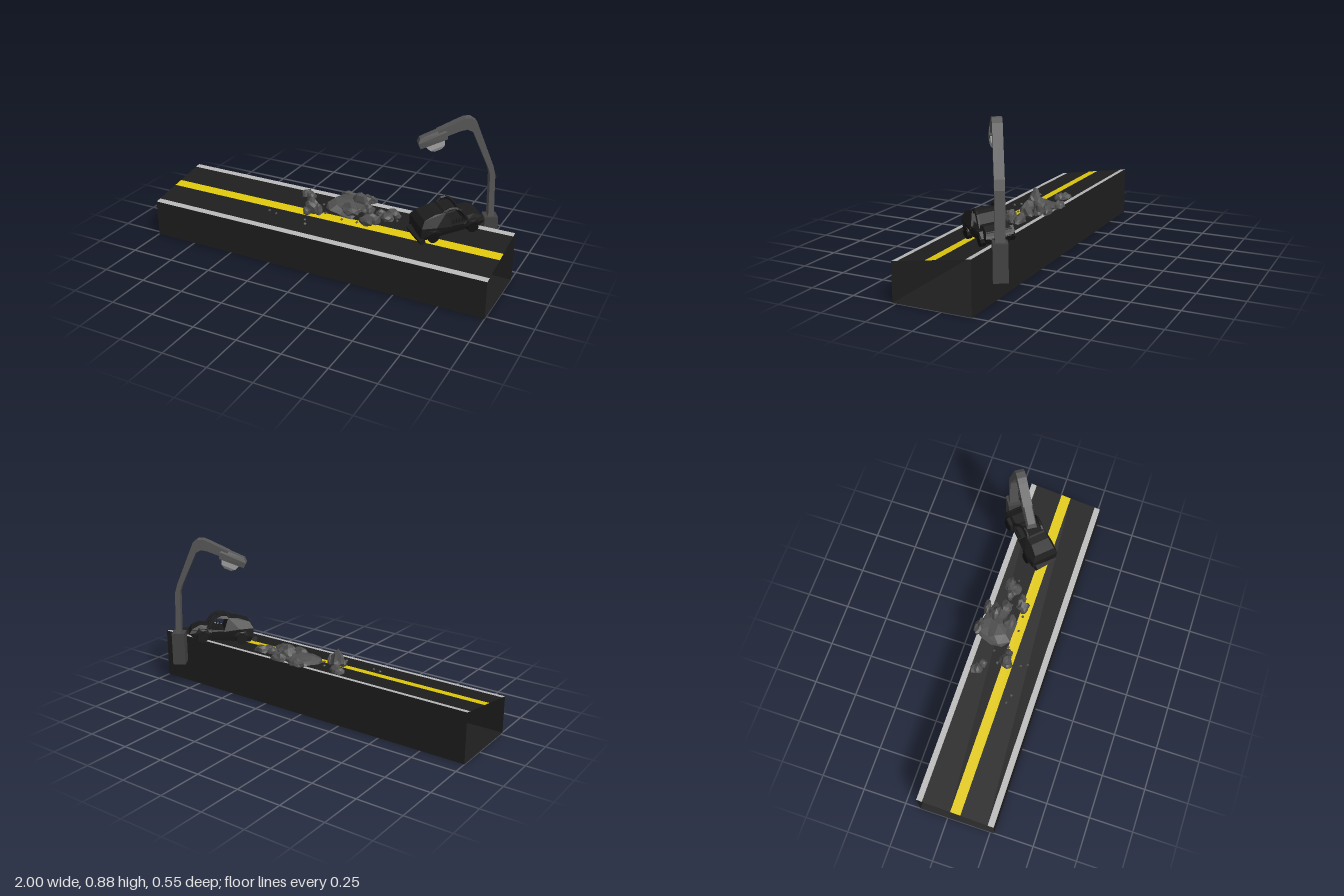
import * as THREE from 'three';
import { ConvexGeometry } from 'three/addons/geometries/ConvexGeometry.js';

const paint = (color, side = THREE.FrontSide) =>
  new THREE.MeshStandardMaterial({ color, side, flatShading: true });
const black = paint(0x1c1c1c), tyre = paint(0x121212), stone = paint(0x505050);
const steel = paint(0x565656), concrete = paint(0x424242), lampGlass = paint(0xaaaaaa);

function add(parent, name, geometry, material, x = 0, y = 0, z = 0) {
  const mesh = new THREE.Mesh(geometry, material);
  mesh.name = name;
  mesh.position.set(x, y, z);
  parent.add(mesh);
  return mesh;
}

// Hull of points [x, y, halfWidth], mirrored across z
function hull(points) {
  return new ConvexGeometry(points.flatMap(([x, y, w]) =>
    [new THREE.Vector3(x, y, w), new THREE.Vector3(x, y, -w)]));
}

// Repeatable 0..1 noise from a position, so shared corners stay joined
function noise(x, y, z, seed) {
  const n = Math.sin(Math.round(x * 50) * 12.99 + Math.round(y * 50) * 78.23 + Math.round(z * 50) * 37.72 + seed * 9.17) * 43758.55;
  return n - Math.floor(n);
}

// Jagged chunk with a flattened underside, resting on y = 0
function chunk(w, h, d, seed, detail = 1) {
  const g = new THREE.IcosahedronGeometry(1, detail);
  const p = g.attributes.position;
  for (let i = 0; i < p.count; i++) {
    const x = p.getX(i), y = p.getY(i), z = p.getZ(i);
    const r = 0.7 + 0.45 * noise(x, y, z, seed);
    p.setXYZ(i, x * r * w / 2, Math.max(0, (y * r + 0.25) * h / 1.25), z * r * d / 2);
  }
  g.computeVertexNormals();
  return g;
}

// Strip of road shell running the full length between two (z, y) edges
function strip(parent, name, color, [z0, y0], [z1, y1]) {
  const g = new THREE.BufferGeometry();
  g.setAttribute('position', new THREE.Float32BufferAttribute(
    [-1, y0, z0, 1, y0, z0, 1, y1, z1, -1, y1, z1], 3));
  g.setIndex([0, 1, 2, 0, 2, 3]);
  g.computeVertexNormals();
  add(parent, name, g, paint(color, THREE.DoubleSide));
}

const SLOPE = 0.163;
const roadY = z => 0.21 + SLOPE * (0.272 - z);

function makeRoad() {
  const road = new THREE.Group();
  road.name = 'road';
  const bands = [
    ['frontEdgeLine', 0xb8b8b8, 0.272, 0.238], ['frontLane', 0x1e1e1e, 0.238, 0.085],
    ['centreLine', 0xe0c80c, 0.085, 0.028], ['backLane', 0x1e1e1e, 0.028, -0.13],
    ['backEdgeLine', 0xb8b8b8, -0.13, -0.162]];
  for (const [name, color, a, b] of bands) strip(road, name, color, [a, roadY(a)], [b, roadY(b)]);
  // Open-ended shell below the surface
  strip(road, 'frontWall', 0x1e1e1e, [0.272, 0], [0.272, roadY(0.272)]);
  strip(road, 'backWall', 0x1e1e1e, [-0.162, roadY(-0.162)], [-0.162, 0]);
  strip(road, 'underside', 0x1e1e1e, [-0.162, 0], [0.272, 0]);
  return road;
}

function makeStreetLamp() {
  const lamp = new THREE.Group();
  lamp.name = 'streetLamp';
  lamp.position.set(0.837, 0, -0.225);
  lamp.rotation.y = Math.PI + 0.557;
  add(lamp, 'lampBase', new THREE.BoxGeometry(0.073, 0.19, 0.073), concrete, 0, 0.23, 0);
  // Bent pole, drawn from the side
  const outline = [
    [-0.016, 0.3], [-0.006, 0.57], [0.008, 0.62], [0.108, 0.865], [0.135, 0.885], [0.17, 0.885],
    [0.2, 0.872], [0.31, 0.82], [0.29, 0.78], [0.19, 0.818], [0.155, 0.825], [0.125, 0.81],
    [0.035, 0.61], [0.022, 0.57], [0.015, 0.3]];
  const shape = new THREE.Shape(outline.map(([x, y]) => new THREE.Vector2(x, y)));
  add(lamp, 'lampPole', new THREE.ExtrudeGeometry(shape, { depth: 0.05, bevelEnabled: false }), steel, 0, 0, -0.025);
  // Tilted head with a faceted glass below
  const head = new THREE.Group();
  head.name = 'lampHead';
  head.position.set(0.33, 0.775, 0);
  head.rotation.z = -0.38;
  lamp.add(head);
  add(head, 'lampHousing', hull([
    [-0.065, 0.034, 0.02], [0.06, 0.03, 0.02], [-0.08, 0.012, 0.029], [0.08, 0.008, 0.027],
    [-0.07, -0.026, 0.029], [0.078, -0.024, 0.024]]), steel);
  add(head, 'lampGlass', hull([
    [-0.055, -0.024, 0.024], [0.05, -0.024, 0.024], [-0.045, -0.055, 0.02], [0.035, -0.055, 0.02],
    [-0.025, -0.072, 0.01], [0.015, -0.072, 0.01]]), lampGlass);
  return lamp;
}

function makeWreck() {
  const car = new THREE.Group();
  car.name = 'wreckedCar';
  car.position.set(0.655, 0, -0.075);
  car.rotation.y = 0.806;
  // Low body with a sagging far end
  add(car, 'carBody', hull([
    [-0.17, 0.015, 0.065], [0.16, 0.015, 0.06], [-0.18, 0.05, 0.08], [0.185, 0.045, 0.07],
    [0.17, 0.075, 0.062], [-0.05, 0.08, 0.085]]), black);
  add(car, 'crushedFront', hull([
    [-0.185, 0.04, 0.078], [-0.18, 0.1, 0.08], [-0.155, 0.135, 0.062], [-0.09, 0.15, 0.055],
    [-0.03, 0.15, 0.06], [-0.01, 0.07, 0.085], [-0.1, 0.09, 0.09]]), black);
  add(car, 'rearDeck', hull([
    [0.06, 0.06, 0.08], [0.075, 0.098, 0.06], [0.13, 0.098, 0.058], [0.175, 0.07, 0.065],
    [0.185, 0.04, 0.055]]), black);
  // Buckled roof and bent window posts
  add(car, 'buckledRoof', hull([
    [-0.06, 0.14, 0.06], [-0.04, 0.158, 0.05], [0.01, 0.155, 0.05], [0.035, 0.142, 0.055]]), black);
  for (const side of [-1, 1]) {
    const post = new THREE.CatmullRomCurve3([
      [-0.05, 0.14, 0.05], [-0.005, side < 0 ? 0.178 : 0.16, 0.05], [0.045, 0.145, 0.058], [0.085, 0.08, 0.066]]
      .map(([x, y, z]) => new THREE.Vector3(x, y, z * side)));
    add(car, 'windowPost', new THREE.TubeGeometry(post, 8, 0.009, 5), black);
    // Broken glass teeth along the sill
    for (let i = 0; i < 5; i++)
      add(car, 'brokenGlass', new THREE.ConeGeometry(0.009, 0.03 + 0.012 * (i % 2), 4), black, 0.005 + i * 0.017, 0.092, side * 0.068);
    for (const x of [-0.115, 0.11]) {
      const wheel = add(car, 'wheel', new THREE.CylinderGeometry(0.033, 0.033, 0.026, 10), tyre, x, 0.033, side * 0.074);
      wheel.rotation.x = Math.PI / 2;
      add(car, 'wheelArch', hull([
        [x - 0.045, 0.045, 0.009], [x - 0.025, 0.078, 0.011], [x + 0.025, 0.078, 0.011],
        [x + 0.045, 0.045, 0.009], [x, 0.068, 0.015]]), black, 0, 0, side * 0.075);
    }
  }
  // Torn bumper
  const bumper = add(car, 'tornBumper', new THREE.BoxGeometry(0.03, 0.03, 0.14), black, -0.185, 0.025, 0.01);
  bumper.rotation.set(0.12, 0.12, 0.3);
  return car;
}

function makeRubble() {
  const rubble = new THREE.Group();
  rubble.name = 'rubble';
  // x, z, width, height, depth
  const pieces = [
    [0.07, -0.07, 0.24, 0.05, 0.22], [0.14, -0.11, 0.12, 0.085, 0.07], [0.03, -0.165, 0.11, 0.04, 0.06],
    [0.16, -0.16, 0.1, 0.05, 0.04], [0.11, -0.02, 0.12, 0.065, 0.08], [0.2, -0.06, 0.08, 0.05, 0.08],
    [-0.2, -0.1, 0.08, 0.035, 0.07], [-0.17, -0.08, 0.06, 0.045, 0.06], [-0.1, 0.035, 0.09, 0.09, 0.06],
    [-0.12, 0.06, 0.06, 0.045, 0.05], [-0.06, 0.04, 0.05, 0.06, 0.05], [0.23, 0.035, 0.08, 0.055, 0.07],
    [0.26, 0.01, 0.09, 0.06, 0.06], [0.32, -0.04, 0.08, 0.04, 0.07], [0.34, -0.08, 0.09, 0.045, 0.06],
    [0.28, -0.06, 0.07, 0.04, 0.05]];
  pieces.forEach(([x, z, w, h, d], i) => add(rubble, 'rubbleChunk', chunk(w, h, d, i + 1), stone, x, 0, z));
  const bits = [[-0.33, 0.12], [-0.28, 0.135], [-0.08, 0.165], [-0.1, 0.13], [-0.07, -0.04], [0.09, 0.055],
    [-0.13, 0.0], [-0.02, 0.03], [0.38, -0.04], [0.18, 0.05]];
  bits.forEach(([x, z], i) => add(rubble, 'pebble', chunk(0.018, 0.012, 0.018, i + 40, 0), stone, x, 0, z));
  return rubble;
}

export function createModel() {
  const model = new THREE.Group();
  model.name = 'wreckedRoad';
  // Everything lying on the road shares its tilt
  const onRoad = new THREE.Group();
  onRoad.name = 'roadDebris';
  onRoad.position.y = roadY(0);
  onRoad.rotation.x = Math.atan(SLOPE);
  onRoad.add(makeWreck(), makeRubble());
  model.add(makeRoad(), makeStreetLamp(), onRoad);
  return model;
}
